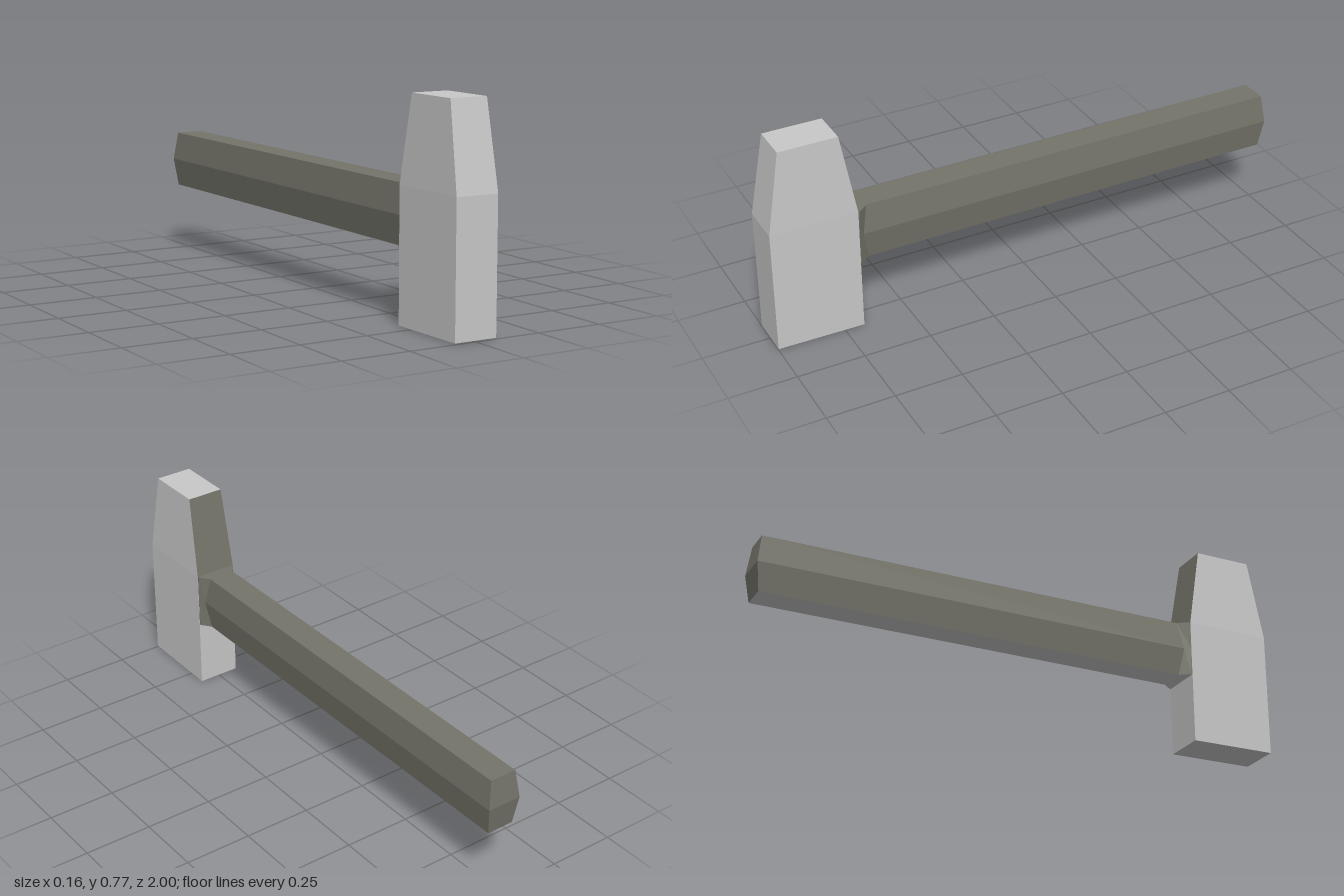
import * as THREE from 'three';

const steel = new THREE.MeshStandardMaterial({ name: 'steel grey', color: 0xc8c8c8 });
const grip = new THREE.MeshStandardMaterial({ name: 'dark olive grey', color: 0x74746a });

// Skins matching rings of points (counter-clockwise seen from the last ring) with flat faces and
// closes both ends. materialOf(level, side) picks a material index for each side face.
function loft(name, rings, materials, materialOf, capMaterial) {
  const pos = [];
  const geometry = new THREE.BufferGeometry();
  const addFace = (points, material) => {
    const start = pos.length / 3;
    for (let k = 1; k < points.length - 1; k++) pos.push(...points[0], ...points[k], ...points[k + 1]);
    geometry.addGroup(start, pos.length / 3 - start, material);
  };
  const n = rings[0].length;
  for (let level = 0; level < rings.length - 1; level++) {
    const a = rings[level], b = rings[level + 1];
    for (let i = 0; i < n; i++) {
      const j = (i + 1) % n;
      addFace([a[i], a[j], b[j], b[i]], materialOf(level, i));
    }
  }
  const first = rings[0];
  addFace([first[0], ...first.slice(1).reverse()], capMaterial);
  addFace(rings[rings.length - 1], capMaterial);
  geometry.setAttribute('position', new THREE.Float32BufferAttribute(pos, 3));
  geometry.computeVertexNormals();
  const mesh = new THREE.Mesh(geometry, materials);
  mesh.name = name;
  return mesh;
}

// Rectangular ring of the head: right, back, left and front sides
const headRing = (w, yFront, yBack, back, front) => [
  [w, yFront, front], [w, yBack, back], [-w, yBack, back], [-w, yFront, front],
];

// Six-sided ring of the handle, starting at the widest point on the +x side
const handleRing = (wMid, wEdge, zMid, zEdge) => {
  const bottom = 0.26, middle = 0.365, top = 0.47;
  return [
    [wMid, middle, zMid], [wEdge, top, zEdge], [-wEdge, top, zEdge],
    [-wMid, middle, zMid], [-wEdge, bottom, zEdge], [wEdge, bottom, zEdge],
  ];
};

export function createModel() {
  const model = new THREE.Group();
  model.name = 'hammer';

  // Straight block with a tapered top; the rear taper is dark
  model.add(loft('head', [
    headRing(0.08, 0.004, 0, 0.677, 1),
    headRing(0.08, 0.47, 0.47, 0.677, 1),
    headRing(0.07, 0.775, 0.775, 0.73, 0.947),
  ], [steel, grip], (level, side) => (level === 1 && side === 1 ? 1 : 0), 0));

  // Handle with a pointed butt, flaring out where it meets the head; pale underside
  model.add(loft('handle', [
    handleRing(0.065, 0.051, -1, -0.986),
    handleRing(0.065, 0.051, 0.655, 0.635),
    handleRing(0.079, 0.079, 0.677, 0.672),
    handleRing(0.079, 0.079, 0.68, 0.68),
  ], [steel, grip], (level, side) => (side === 4 ? 0 : 1), 1));

  return model;
}
